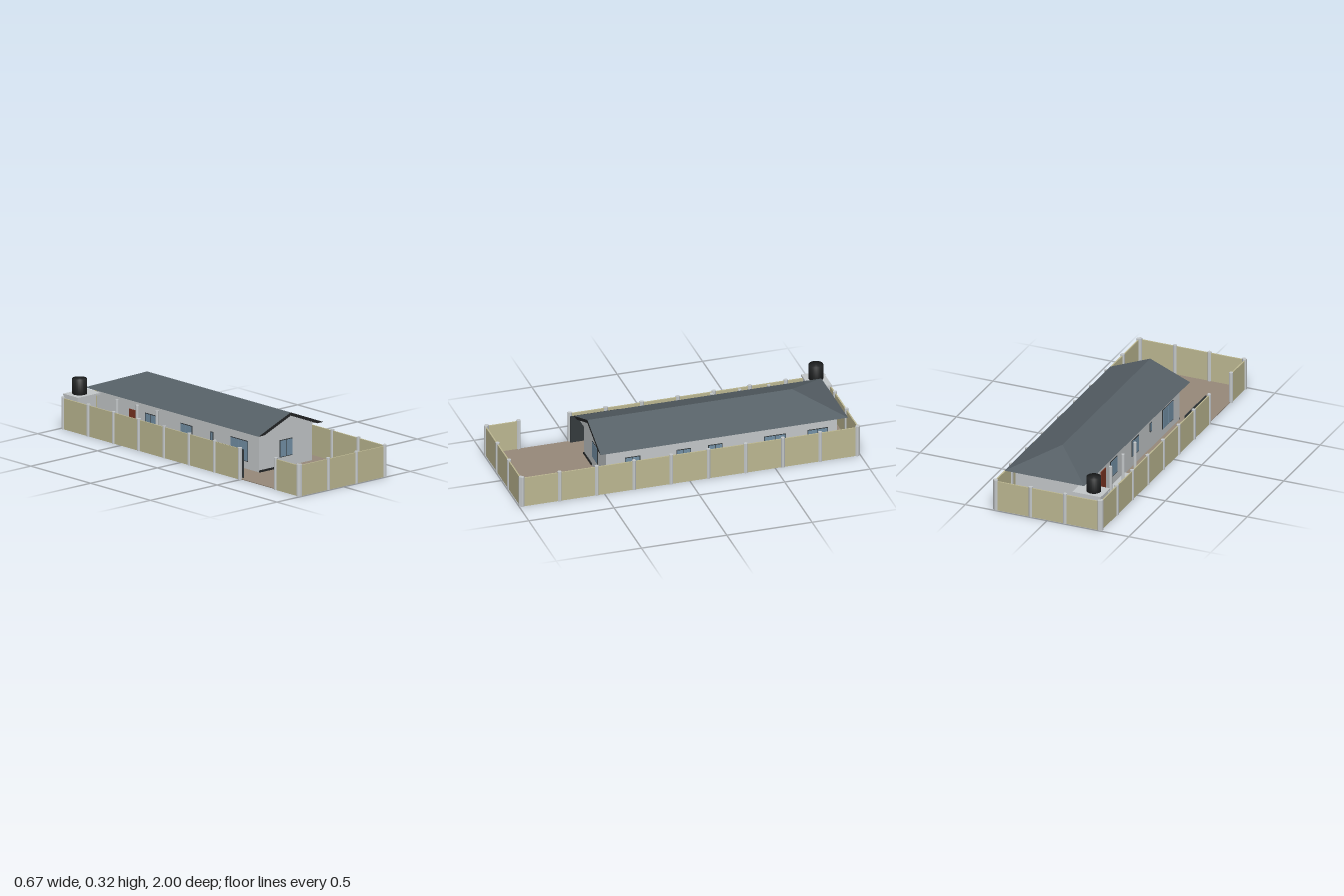
import * as THREE from 'three';

const mat = (name, color) => {
  const m = new THREE.MeshStandardMaterial({ color });
  m.name = name;
  return m;
};

export function createModel() {
  const root = new THREE.Group();
  root.name = 'walledHouse';
  const M = {
    concrete: mat('pale grey concrete', 0xc4c8ca),
    panel: mat('sand fence panel', 0xbdb892),
    ground: mat('brown earth', 0x97897a),
    slate: mat('slate roof', 0x566066),
    black: mat('black', 0x232526),
    gate: mat('dark gate grey', 0x343a3d),
    glass: mat('blue glass', 0x7390a6),
    door: mat('red brown', 0x7a3422),
  };

  const add = (name, geo, material, parent = root) => {
    const mesh = new THREE.Mesh(geo, material);
    mesh.name = name;
    parent.add(mesh);
    return mesh;
  };
  // box from its min and max corners
  const box = (name, material, [x0, y0, z0], [x1, y1, z1], parent) => {
    const mesh = add(name, new THREE.BoxGeometry(x1 - x0, y1 - y0, z1 - z0), material, parent);
    mesh.position.set((x0 + x1) / 2, (y0 + y1) / 2, (z0 + z1) / 2);
    return mesh;
  };
  const group = (name) => {
    const g = new THREE.Group();
    g.name = name;
    root.add(g);
    return g;
  };
  // flat faces, each a list of corners in counter-clockwise order
  const faces = (list) => {
    const pos = [];
    for (const f of list)
      for (let i = 1; i < f.length - 1; i++) pos.push(...f[0], ...f[i], ...f[i + 1]);
    const g = new THREE.BufferGeometry();
    g.setAttribute('position', new THREE.Float32BufferAttribute(pos, 3));
    g.computeVertexNormals();
    return g;
  };

  // Yard
  box('yard', M.ground, [-0.322, 0.001, -0.988], [0.322, 0.005, 0.988]);
  box('redFloorBack', M.door, [-0.16, 0, -0.9], [0.03, 0.001, -0.84]);
  box('redFloorSide', M.door, [-0.16, 0, -0.84], [-0.1, 0.001, -0.7]);

  // Boundary fence: sand panels, with a gate opening on the right side
  const fence = group('boundaryFence');
  const H = 0.178, T = 0.004;
  for (const s of [-1, 1])
    box('endPanel', M.panel, [-0.322, 0, s * 0.989 - T], [0.322, H, s * 0.989 + T], fence);
  box('leftPanel', M.panel, [0.324 - T, 0, -0.985], [0.324 + T, H, 0.985], fence);
  box('rightPanelLong', M.panel, [-0.324 - T, 0, -0.985], [-0.324 + T, H, 0.495], fence);
  box('rightPanelShort', M.panel, [-0.324 - T, 0, 0.795], [-0.324 + T, H, 0.985], fence);

  // Octagonal fence posts
  const postGeo = new THREE.CylinderGeometry(0.0115, 0.0115, 0.185, 8).rotateY(Math.PI / 8).toNonIndexed();
  postGeo.computeVertexNormals();
  const post = (x, z) => add('fencePost', postGeo, M.concrete, fence).position.set(x, 0.0925, z);
  for (const s of [-1, 1])
    for (const x of [-0.317, -0.106, 0.104, 0.317]) post(x, s * 0.989);
  for (let i = 0; i < 10; i++) post(0.324, -0.982 + i * 1.964 / 9);
  for (let i = 0; i < 8; i++) post(-0.324, -0.982 + i * 0.211);
  post(-0.324, 0.795);
  post(-0.324, 0.982);

  // Sliding gate, standing open behind the fence
  box('slidingGate', M.gate, [-0.304, 0.006, 0.21], [-0.299, 0.17, 0.5]);

  // House body
  box('houseWalls', M.concrete, [-0.155, 0.005, -0.888], [0.243, 0.222, 0.465]);
  box('frontStep', M.black, [-0.155, 0.005, 0.465], [-0.01, 0.016, 0.471]);
  box('ceilingSlab', M.black, [-0.1, 0.222, -0.6], [0.185, 0.227, -0.33]);

  // Front gable wall under the roof
  const tri = new THREE.Shape();
  tri.moveTo(-0.152, 0.228);
  tri.lineTo(0.238, 0.228);
  tri.lineTo(0.043, 0.305);
  tri.closePath();
  add('frontGable', new THREE.ExtrudeGeometry(tri, { depth: 0.04, bevelEnabled: false }), M.concrete)
    .position.z = 0.457;

  // Roof: gable at the front, hip at the back
  const shell = (l, r, top, back) => ({
    fl: [l, 0.227, 0.51], fr: [r, 0.227, 0.51], ft: [0.043, top, 0.51],
    bl: [l, 0.227, back], br: [r, 0.227, back], bt: [0.043, top, -0.69],
  });
  const o = shell(-0.2, 0.287, 0.325, -0.94);
  const n = shell(-0.155, 0.242, 0.306, -0.895);
  add('roofSlopes', faces([
    [o.fl, o.ft, o.bt, o.bl], [o.fr, o.br, o.bt, o.ft], [o.br, o.bl, o.bt],
  ]), M.slate);
  add('roofEdgesAndUnderside', faces([
    [n.fl, n.bl, n.bt, n.ft], [n.fr, n.ft, n.bt, n.br], [n.br, n.bt, n.bl],
    [o.fl, n.fl, n.ft, o.ft], [o.fr, o.ft, n.ft, n.fr],
    [o.fl, o.bl, n.bl, n.fl], [o.fr, n.fr, n.br, o.br], [o.bl, o.br, n.br, n.bl],
  ]), M.black);

  // Windows: dark frame plate with glass panes, built facing +z
  const windowUnit = (w, h, x, y, z, turn, panes) => {
    const g = group('window');
    box('windowFrame', M.gate, [-w / 2, -h / 2, 0], [w / 2, h / 2, 0.003], g);
    const b = 0.004, pw = (w - b) / panes;
    for (let i = 0; i < panes; i++) {
      const x0 = -w / 2 + b + i * pw;
      box('windowPane', M.glass, [x0, -h / 2 + b, 0.003], [x0 + pw - b, h / 2 - b, 0.005], g);
    }
    g.position.set(x, y, z);
    g.rotation.y = turn;
  };
  windowUnit(0.096, 0.1, 0.047, 0.113, 0.465, 0, 2);
  // [z, width, height, y, panes]
  for (const [z, w, h, y, p] of [
    [0.31, 0.09, 0.1, 0.113, 2], [0.01, 0.085, 0.055, 0.135, 2], [-0.175, 0.085, 0.055, 0.135, 2],
    [-0.525, 0.13, 0.1, 0.113, 2], [-0.775, 0.12, 0.1, 0.113, 2],
  ]) windowUnit(w, h, 0.243, y, z, Math.PI / 2, p);
  for (const [z, w, h, y, p] of [
    [-0.435, 0.095, 0.1, 0.113, 2], [-0.14, 0.095, 0.1, 0.113, 2],
    [0.073, 0.026, 0.055, 0.135, 1], [0.303, 0.145, 0.12, 0.108, 2],
  ]) windowUnit(w, h, -0.155, y, z, -Math.PI / 2, p);

  // Side door and porch
  box('sideDoor', M.door, [-0.16, 0.01, -0.615], [-0.155, 0.16, -0.55]);
  box('porchFloor', M.concrete, [-0.24, 0.005, -0.655], [-0.155, 0.012, -0.285]);
  for (const z of [-0.64, -0.47, -0.305])
    add('porchColumn', new THREE.CylinderGeometry(0.0095, 0.0095, 0.214, 16), M.concrete)
      .position.set(-0.228, 0.115, z);

  // Corner outbuilding carrying the water tank
  box('outbuilding', M.concrete, [-0.318, 0.005, -0.982], [-0.178, 0.193, -0.87]);
  box('outbuildingRoof', M.concrete, [-0.322, 0.192, -0.986], [-0.15, 0.203, -0.86]);
  const tank = [[0, 0.203], [0.041, 0.203], [0.041, 0.292], [0, 0.292]]
    .map(([r, y]) => new THREE.Vector2(r, y));
  add('waterTank', new THREE.LatheGeometry(tank, 28), M.black).position.set(-0.253, 0, -0.925);

  return root;
}
